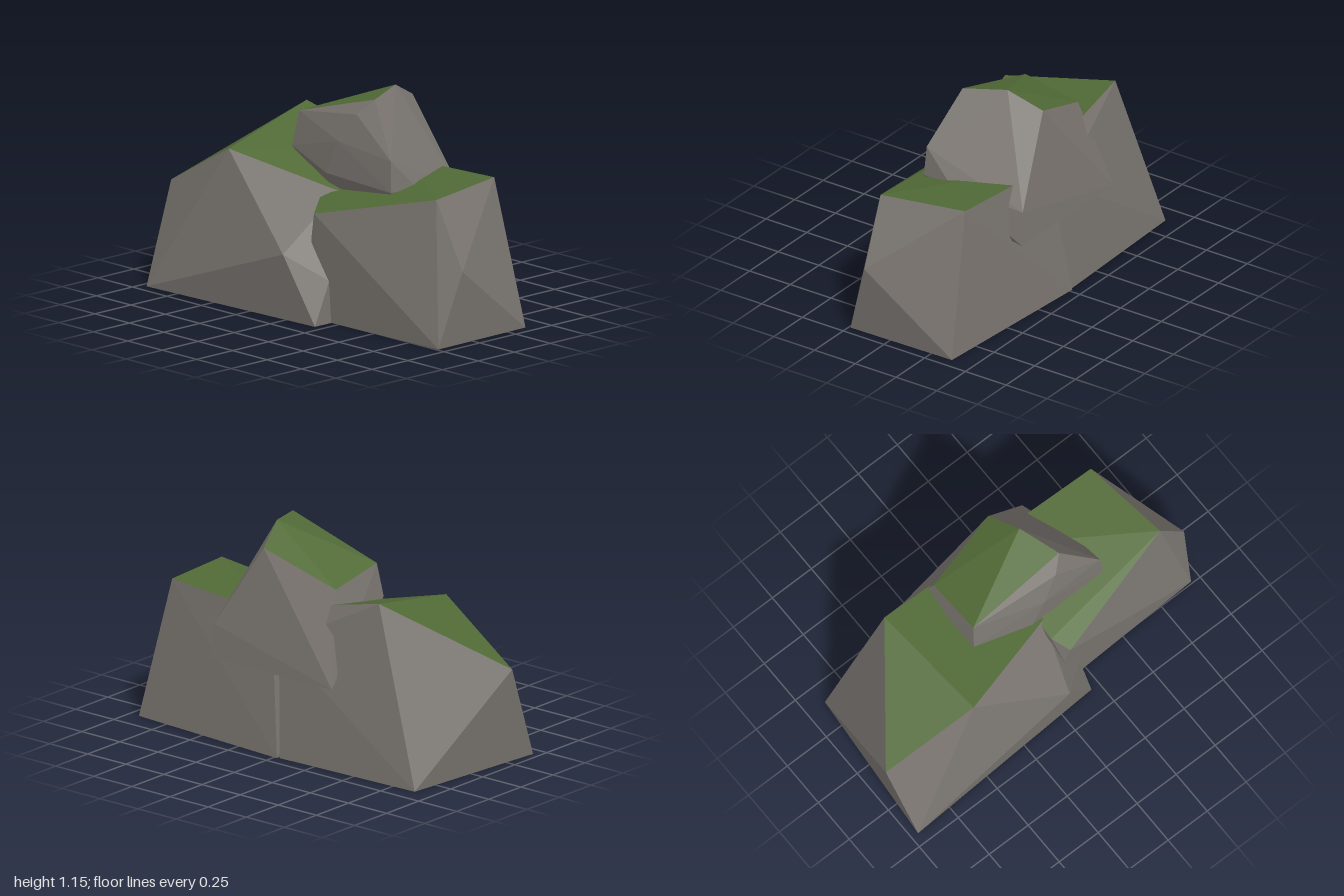
import * as THREE from 'three';
import { ConvexGeometry } from 'three/addons/geometries/ConvexGeometry.js';

const stone = new THREE.MeshStandardMaterial({ color: 0x7a7570 });
stone.name = 'stone grey';
const moss = new THREE.MeshStandardMaterial({ color: 0x516a36 });
moss.name = 'moss green';

// Corner points of each faceted boulder
const boulders = {
  leftBoulder: [
    [-0.96, 0, 0.44], [0.2, 0, 0.38], [-0.89, 0, -0.4], [-0.03, 0, -0.43], [0.2, 0, 0],
    [-1, 0.51, 0.23], [-0.5, 0.78, 0.31], [-0.58, 0.905, -0.31],
    [0.02, 0.35, 0.43], [0.2, 0.22, 0.28], [0.1, 0.64, 0.12],
    [0.02, 0.77, -0.33], [0.0, 0.6, -0.4],
  ],
  rightBoulder: [
    [0.95, 0, 0.24], [0.94, 0, -0.375], [-0.02, 0, -0.44], [0.12, 0, 0.27],
    [1, 0.39, 0.12], [0.83, 0.735, 0.14], [0.76, 0.755, -0.33],
    [0.12, 0.56, 0.31], [0.09, 0.42, 0.3], [0.07, 0.62, 0.22], [0.08, 0.72, -0.36],
  ],
  topBoulder: [
    [-0.28, 0.97, 0.03], [0.27, 1.13, 0.03], [0.19, 1.153, -0.19],
    [0.13, 1.062, -0.365], [-0.28, 0.91, -0.29],
    [-0.38, 0.44, -0.44], [0.42, 0.44, -0.44], [0.4, 0.62, -0.43],
    [-0.3, 0.79, 0.06], [0.2, 1.05, 0.09], [0.02, 0.72, 0.13], [0.1, 0.9, 0.125],
    [0.47, 0.86, 0.11], [0.48, 0.7, 0.12], [0.49, 0.7, -0.05],
    [0.0, 0.52, 0.05], [0.4, 0.52, 0.05],
  ],
};

// Build one boulder; facets that face the sky become moss
function makeBoulder(name, points) {
  const hull = new ConvexGeometry(points.map((p) => new THREE.Vector3(...p)));
  const pos = hull.attributes.position;
  const tri = new THREE.Triangle();
  const normal = new THREE.Vector3();
  const sides = [];
  const tops = [];
  for (let i = 0; i < pos.count; i += 3) {
    tri.setFromAttributeAndIndices(pos, i, i + 1, i + 2);
    tri.getNormal(normal);
    const target = normal.y > 0.72 ? tops : sides;
    for (const v of [tri.a, tri.b, tri.c]) target.push(v.x, v.y, v.z);
  }
  const group = new THREE.Group();
  group.name = name;
  for (const [part, coords, material] of [['stoneSides', sides, stone], ['mossTop', tops, moss]]) {
    const geometry = new THREE.BufferGeometry();
    geometry.setAttribute('position', new THREE.Float32BufferAttribute(coords, 3));
    geometry.computeVertexNormals();
    const mesh = new THREE.Mesh(geometry, material);
    mesh.name = part;
    group.add(mesh);
  }
  return group;
}

export function createModel() {
  const model = new THREE.Group();
  model.name = 'mossyRocks';
  for (const [name, points] of Object.entries(boulders)) model.add(makeBoulder(name, points));
  return model;
}
